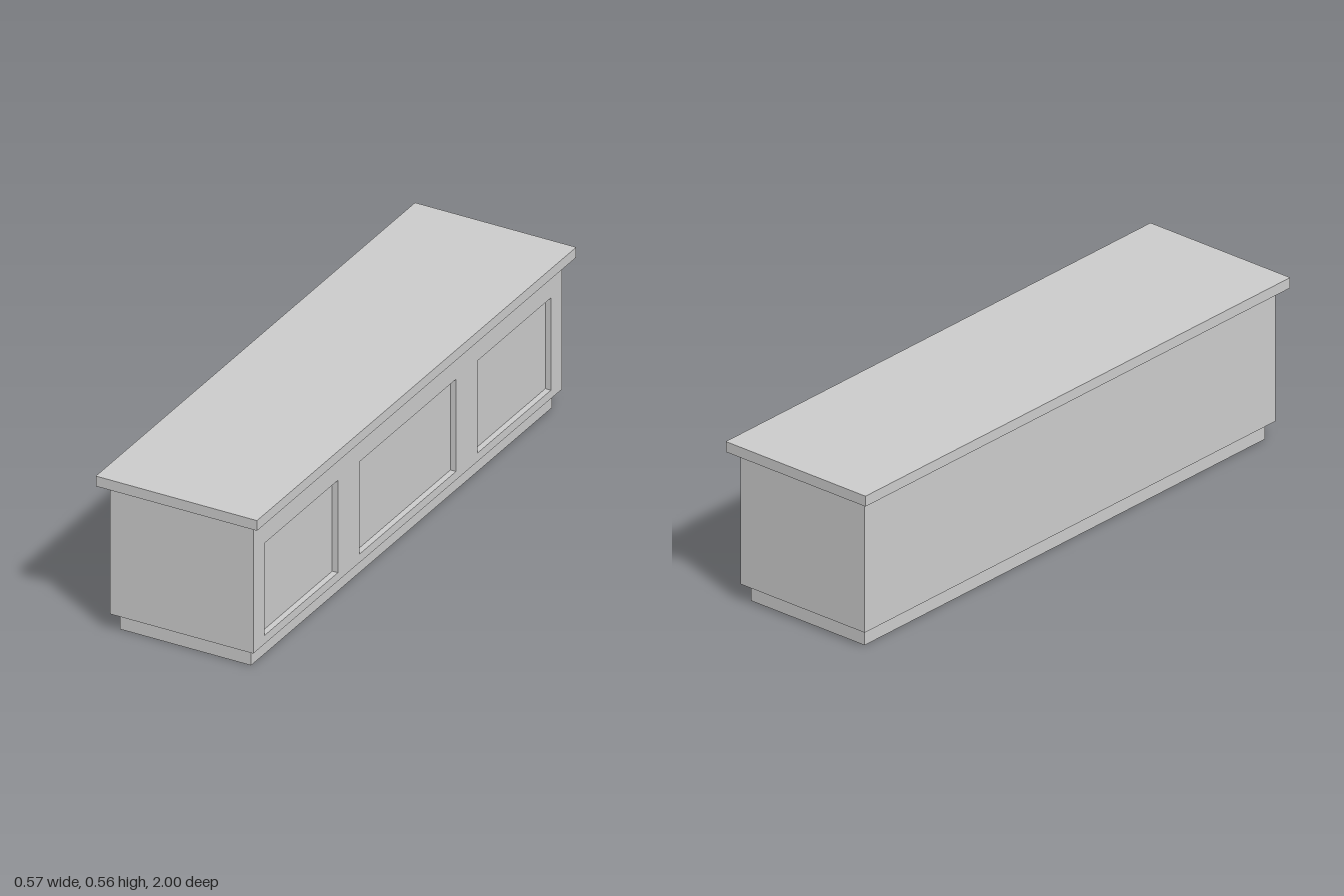
import * as THREE from 'three';

const material = new THREE.MeshStandardMaterial({ color: 0xcccccc, flatShading: true });

// Box given by its x and y ranges and its length, centred on z = 0
function slab(name, x0, x1, y0, y1, length) {
  const mesh = new THREE.Mesh(new THREE.BoxGeometry(x1 - x0, y1 - y0, length), material);
  mesh.position.set((x0 + x1) / 2, (y0 + y1) / 2, 0);
  mesh.name = name;
  return mesh;
}

// Traces a rectangle on a shape or hole path
function rect(path, x0, x1, y0, y1) {
  path.moveTo(x0, y0).lineTo(x1, y0).lineTo(x1, y1).lineTo(x0, y1).closePath();
  return path;
}

export function createModel() {
  const group = new THREE.Group();
  group.name = 'counter';

  const side = 0.255, recess = 0.02, bottom = 0.06, top = 0.52, length = 1.934;

  group.add(slab('plinth', -0.233, 0.233, 0, bottom, 1.884));
  group.add(slab('cabinetBody', -side, side - recess, bottom, top, length));
  group.add(slab('countertop', -0.287, 0.287, top, 0.556, 2));

  // Panelled side: a face frame with three openings over the cabinet body
  const frame = rect(new THREE.Shape(), -length / 2, length / 2, bottom, top);
  for (const [a, b] of [[-0.898, -0.437], [-0.303, 0.303], [0.437, 0.898]]) {
    frame.holes.push(rect(new THREE.Path(), a, b, 0.09, 0.417));
  }
  const panelFrame = new THREE.Mesh(
    new THREE.ExtrudeGeometry(frame, { depth: recess, bevelEnabled: false }), material);
  panelFrame.rotation.y = Math.PI / 2;
  panelFrame.position.x = side - recess;
  panelFrame.name = 'panelFrame';
  group.add(panelFrame);

  return group;
}
